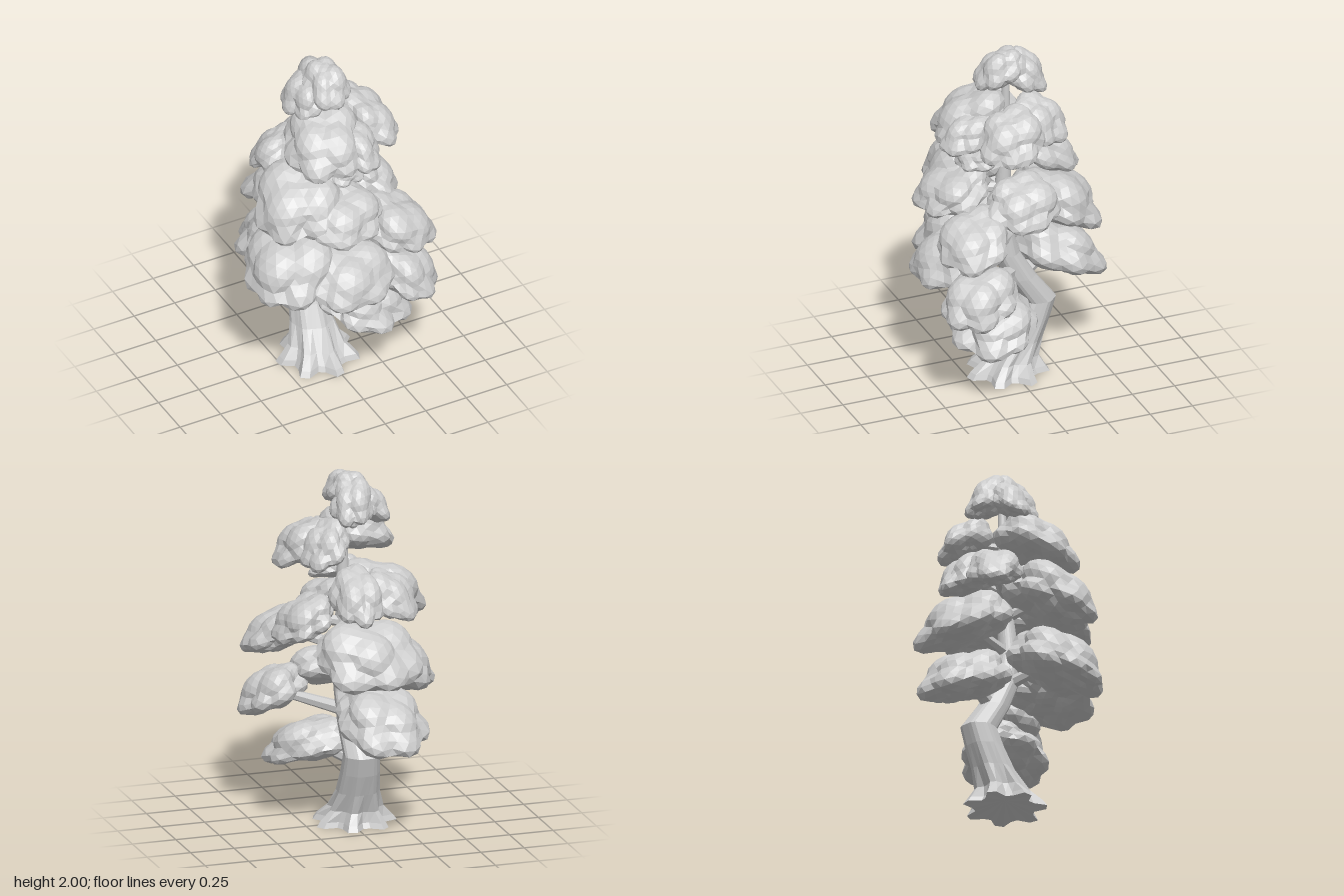
import * as THREE from 'three';

const bark = new THREE.MeshStandardMaterial({ color: 0xcccccc });
bark.name = 'pale grey';

function makeRandom(seed) {
  let s = seed;
  return () => (s = (s * 16807) % 2147483647) / 2147483647;
}

// separate the faces so that every facet is shaded flat
function facetedMesh(geometry, name) {
  const g = geometry.index ? geometry.toNonIndexed() : geometry;
  g.computeVertexNormals();
  const mesh = new THREE.Mesh(g, bark);
  mesh.name = name;
  return mesh;
}

// trunk rows: x, y, z, radius, root lobing
const TRUNK = [
  [-0.03, 0, 0.02, 0.2, 0.22],
  [-0.03, 0.03, 0.02, 0.182, 0.22],
  [-0.03, 0.09, 0, 0.142, 0.13],
  [-0.025, 0.2, -0.06, 0.117, 0.05],
  [-0.02, 0.32, -0.115, 0.107, 0.03],
  [-0.015, 0.43, -0.155, 0.099, 0.03],
  [-0.005, 0.59, -0.045, 0.088, 0.03],
  [0, 0.75, 0.04, 0.075, 0.03],
  [0.005, 0.95, 0.075, 0.058, 0],
  [0.02, 1.3, 0.055, 0.038, 0],
  [0.03, 1.85, 0.05, 0.02, 0],
];

function trunkPoint(y) {
  let i = 1;
  while (i < TRUNK.length - 1 && TRUNK[i][1] < y) i++;
  const a = TRUNK[i - 1], b = TRUNK[i];
  const t = THREE.MathUtils.clamp((y - a[1]) / (b[1] - a[1]), 0, 1);
  return new THREE.Vector3(...[0, 1, 2].map((k) => a[k] + (b[k] - a[k]) * t));
}

// bent trunk with a lobed root flare
function makeTrunk() {
  const rows = TRUNK.length - 1;
  const g = new THREE.CylinderGeometry(1, 1, 1, 28, rows);
  const p = g.attributes.position;
  for (let i = 0; i < p.count; i++) {
    const [x, y, z, r, lobe] = TRUNK[Math.round((p.getY(i) + 0.5) * rows)];
    const radial = Math.hypot(p.getX(i), p.getZ(i));
    const angle = Math.atan2(p.getZ(i), p.getX(i));
    const k = r * (1 + lobe * Math.cos(7 * angle + 2.2));
    // the underside between the roots is hollow
    const hollow = y === 0 && radial < 0.5 ? 0.05 : 0;
    p.setXYZ(i, x + p.getX(i) * k, y + hollow, z + p.getZ(i) * k);
  }
  return facetedMesh(g, 'trunk');
}

// tapered limb between two points
function makeBranch(from, to, r0, r1) {
  const dir = to.clone().sub(from);
  const g = new THREE.CylinderGeometry(r1, r0, dir.length(), 7);
  const mesh = facetedMesh(g, 'branch');
  mesh.position.copy(from).add(to).multiplyScalar(0.5);
  mesh.quaternion.setFromUnitVectors(new THREE.Vector3(0, 1, 0), dir.normalize());
  return mesh;
}

// knobbly, drooping foliage pad fitted to a box [x0, x1, y0, y1, z0, z1]
function makeFoliage(box, seed, droop) {
  const rand = makeRandom(seed * 7919 + 17);
  const lobes = [[new THREE.Vector3(0, 0, 0), 0.7]];
  const addRing = (count, reach, height, radius) => {
    const start = rand() * 6.28;
    for (let i = 0; i < count; i++) {
      const a = start + ((i + rand() * 0.4) / count) * Math.PI * 2;
      const c = new THREE.Vector3(Math.cos(a) * reach, height + rand() * 0.12, Math.sin(a) * reach);
      lobes.push([c, radius * (0.88 + rand() * 0.24)]);
    }
  };
  addRing(7, 0.64, -0.2, 0.42);
  addRing(4, 0.4, 0.2, 0.5);
  addRing(4, 0.36, -0.42, 0.36);

  const out = new THREE.Vector3(box[0] + box[1], 0, box[4] + box[5]).normalize();
  const g = new THREE.IcosahedronGeometry(1, 4);
  g.rotateX(rand() * 3);
  g.rotateY(rand() * 6);
  const p = g.attributes.position;
  const v = new THREE.Vector3();
  for (let i = 0; i < p.count; i++) {
    v.fromBufferAttribute(p, i).normalize();
    // farthest lobe surface along this direction
    let reach = 0;
    for (const [c, r] of lobes) {
      const b = v.dot(c);
      const d = b * b - c.lengthSq() + r * r;
      if (d > 0) reach = Math.max(reach, b + Math.sqrt(d));
    }
    v.multiplyScalar(reach);
    if (v.y < 0) v.y *= 0.85;
    v.y -= droop * v.dot(out) + 0.07 * (v.x * v.x + v.z * v.z);
    p.setXYZ(i, v.x, v.y, v.z);
  }
  g.computeBoundingBox();
  const { min, max } = g.boundingBox;
  const fit = (n, a, b, lo, hi) => lo + ((n - a) / (b - a)) * (hi - lo);
  for (let i = 0; i < p.count; i++) {
    p.setXYZ(i,
      fit(p.getX(i), min.x, max.x, box[0], box[1]),
      fit(p.getY(i), min.y, max.y, box[2], box[3]),
      fit(p.getZ(i), min.z, max.z, box[4], box[5]));
  }
  return facetedMesh(g, 'foliage');
}

// foliage pads at the tip of the tree
const CROWN = [
  [-0.14, 0.12, 1.77, 2.0, -0.08, 0.22],
  [-0.1, 0.13, 1.72, 1.98, -0.19, 0.07],
  [-0.23, 0, 1.7, 1.92, -0.12, 0.17],
];

// foliage pads carried by branches, from the top down
const PADS = [
  [-0.31, 0.14, 1.46, 1.77, -0.05, 0.43],
  [-0.06, 0.2, 1.47, 1.69, 0.1, 0.45],
  [0.07, 0.4, 1.46, 1.74, -0.08, 0.3],
  [0.03, 0.31, 1.5, 1.77, -0.25, 0.1],
  [-0.13, 0.17, 1.21, 1.5, -0.38, 0],
  [-0.32, -0.01, 1.2, 1.47, -0.32, 0],
  [-0.12, 0.17, 1.33, 1.48, 0.06, 0.33],
  [-0.49, 0.04, 1.08, 1.46, -0.06, 0.45],
  [-0.26, 0.2, 1.07, 1.33, 0.12, 0.54],
  [0.08, 0.42, 1.04, 1.32, -0.16, 0.27],
  [-0.31, 0.27, 0.86, 1.22, -0.5, 0],
  [0.07, 0.49, 0.89, 1.18, 0.12, 0.55],
  [-0.53, 0, 0.66, 1.04, -0.1, 0.45],
  [-0.28, 0.24, 0.65, 0.94, 0.14, 0.56],
  [-0.35, 0.17, 0.5, 0.87, -0.56, -0.04],
  [0.13, 0.52, 0.55, 0.84, 0.11, 0.54],
  [-0.09, 0.42, 0.29, 0.58, -0.06, 0.42],
];

export function createModel() {
  const tree = new THREE.Group();
  tree.name = 'tree';
  tree.add(makeTrunk());
  CROWN.forEach((box, i) => tree.add(makeFoliage(box, i + 31, 0.3)));
  PADS.forEach((box, i) => {
    tree.add(makeFoliage(box, i + 1, 0.4));
    const [x0, x1, y0, y1, z0, z1] = box;
    const target = new THREE.Vector3((x0 + x1) / 2, y0 + (y1 - y0) * 0.5, (z0 + z1) / 2);
    const thick = 0.05 - 0.016 * y0;
    tree.add(makeBranch(trunkPoint(y0 + 0.09), target, thick, thick * 0.6));
  });
  return tree;
}
